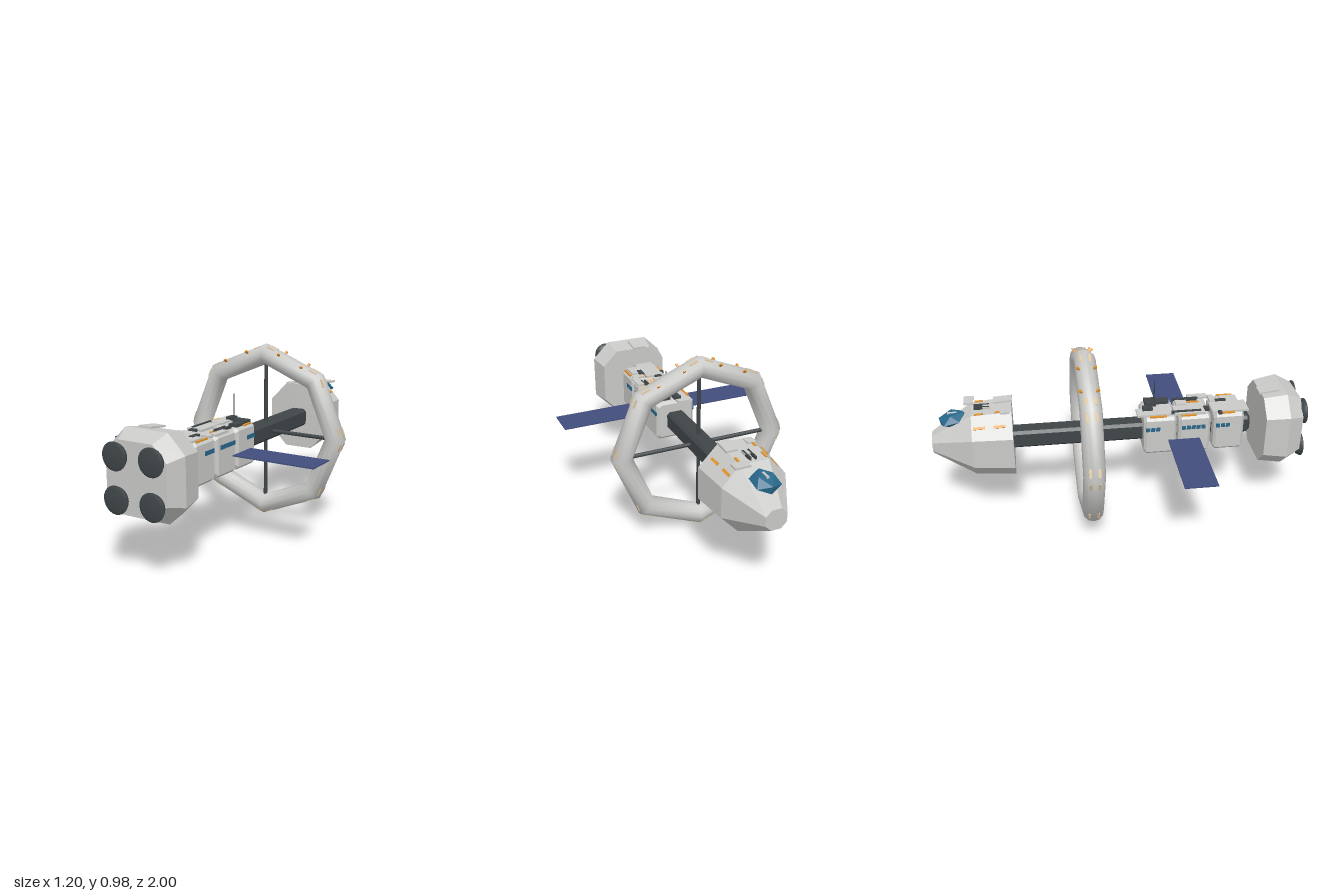
import * as THREE from 'three';

const mat = (name, color) => {
  const m = new THREE.MeshStandardMaterial({ color });
  m.name = name;
  return m;
};

// Chamfered-rectangle loft along z; sections are [z, halfX, halfY, centreY, flat ratio]
function loft(sections) {
  const rings = sections.map(([z, hx, hy, cy, k]) =>
    [[1, -k], [1, k], [k, 1], [-k, 1], [-1, k], [-1, -k], [-k, -1], [k, -1]]
      .map(([x, y]) => [x * hx, cy + y * hy, z]));
  const pos = [];
  const tri = (a, b, c) => pos.push(...a, ...b, ...c);
  for (let i = 0; i < rings.length - 1; i++) {
    for (let j = 0; j < 8; j++) {
      const n = (j + 1) % 8;
      const a = rings[i][j], b = rings[i][n], c = rings[i + 1][n], d = rings[i + 1][j];
      tri(a, b, c);
      tri(a, c, d);
    }
  }
  const first = rings[0], last = rings[rings.length - 1];
  for (let j = 1; j < 7; j++) {
    tri(first[0], first[j + 1], first[j]);
    tri(last[0], last[j], last[j + 1]);
  }
  const g = new THREE.BufferGeometry();
  g.setAttribute('position', new THREE.Float32BufferAttribute(pos, 3));
  g.computeVertexNormals();
  return g;
}

export function createModel() {
  const model = new THREE.Group();
  model.name = 'spaceStation';
  const hull = mat('hull grey', 0xc9c9c7);
  const dark = mat('dark metal', 0x3f4548);
  const blue = mat('window blue', 0x27678a);
  const navy = mat('solar navy', 0x414e7c);
  const orange = mat('marking orange', 0xe0952f);
  const warm = mat('warm window', 0xdcc49a);

  const add = (name, geo, material, x = 0, y = 0, z = 0, parent = model) => {
    const m = new THREE.Mesh(geo, material);
    m.name = name;
    m.position.set(x, y, z);
    parent.add(m);
    return m;
  };
  const box = (name, material, w, h, d, x, y, z, parent) =>
    add(name, new THREE.BoxGeometry(w, h, d), material, x, y, z, parent);
  // Box given by its x and z ranges
  const slab = (name, material, x0, x1, z0, z1, y, h) =>
    box(name, material, x1 - x0, h, z1 - z0, (x0 + x1) / 2, y, (z0 + z1) / 2);

  // Central spine
  const cy = 0.493;
  add('spine', loft([[-0.6, 0.05, 0.05, cy, 0.7], [0.7, 0.05, 0.05, cy, 0.7], [0.715, 0.04, 0.04, cy, 0.7]]), dark);

  // Habitat ring with spokes
  const ring = new THREE.Group();
  ring.name = 'habitatRing';
  ring.position.set(0, 0.4887, -0.183);
  model.add(ring);
  add('ringTube', new THREE.TorusGeometry(0.4315, 0.0572, 12, 8), hull, 0, 0, 0, ring);
  for (let i = 0; i < 2; i++) {
    const s = add('spoke', new THREE.CylinderGeometry(0.011, 0.011, 0.8, 8), dark, 0, 0, 0, ring);
    s.rotation.z = i * Math.PI / 2;
  }
  for (let i = 0; i < 8; i++) {
    const seg = new THREE.Group();
    seg.name = 'ringSegment';
    seg.rotation.z = (i + 0.5) * Math.PI / 4;
    ring.add(seg);
    for (const s of [-1, 1]) {
      box('ringWindow', warm, 0.009, 0.045, 0.06, 0.443, s * 0.14, 0, seg);
      // Orange bands on the two uppermost segments
      if (i === 1 || i === 2) {
        for (const f of [-1, 1]) {
          const band = box('ringBand', orange, 0.009, 0.013, 0.04, 0.437, s * 0.075, f * 0.036, seg);
          band.rotation.y = f * 0.75;
        }
      }
    }
  }

  // Three cargo modules with side windows
  const modules = [[0.118, 0.294, 0.18, 3], [0.305, 0.48, 0.385, 5], [0.497, 0.663, 0.54, 3]];
  const windowZ = [0.165, 0.385, 0.545];
  modules.forEach(([z0, z1, , count], i) => {
    const k = 0.86, b = 0.014;
    add('module', loft([[z0, 0.096, 0.096, 0.495, k], [z0 + b, 0.11, 0.11, 0.495, k],
      [z1 - b, 0.11, 0.11, 0.495, k], [z1, 0.096, 0.096, 0.495, k]]), hull);
    for (const s of [-1, 1]) {
      for (let j = 0; j < count; j++) {
        box('moduleWindow', blue, 0.006, 0.022, 0.021, s * 0.111, 0.54, windowZ[i] + (j - (count - 1) / 2) * 0.027);
      }
    }
  });

  // Roof plates, equipment and markings on the modules
  const plates = [
    [-0.08, -0.005, 0.085, 0.265], [-0.09, 0, 0.285, 0.45], [-0.085, 0.02, 0.49, 0.69],
    [0.075, 0.115, 0.385, 0.495], [0.015, 0.085, 0.56, 0.655], [0.01, 0.06, 0.31, 0.37], [0.03, 0.1, 0.5, 0.53],
  ];
  plates.forEach(([a, b, c, d], i) => slab('roofPlate', hull, a, b, c, d, 0.608 + (i % 2) * 0.003, 0.012));
  const gear = [
    [-0.035, 0.003, 0.12, 0.175, 0.62], [0.02, 0.095, 0.14, 0.2, 0.616], [0.045, 0.095, 0.2, 0.275, 0.612],
    [-0.075, -0.063, 0.27, 0.43, 0.615], [0.055, 0.063, 0.33, 0.43, 0.614], [0.07, 0.078, 0.3, 0.44, 0.612],
    [-0.06, -0.025, 0.45, 0.48, 0.611], [0.02, 0.045, 0.53, 0.59, 0.61], [-0.1, -0.08, 0.52, 0.54, 0.609],
  ];
  gear.forEach(([a, b, c, d, y]) => slab('roofGear', dark, a, b, c, d, y, 0.016));
  const marks = [[-0.092, 0.15, 0.24], [0.1, 0.15, 0.22], [-0.095, 0.32, 0.4], [0.045, 0.31, 0.44],
    [-0.093, 0.54, 0.61], [0.098, 0.55, 0.64], [0.02, 0.5, 0.55]];
  marks.forEach(([x, a, b]) => slab('roofMarking', orange, x - 0.006, x + 0.006, a, b, 0.607, 0.008));
  add('antenna', new THREE.CylinderGeometry(0.003, 0.003, 0.15, 6), dark, 0.025, 0.685, 0.19);

  // Solar panels
  for (const s of [-1, 1]) {
    box('solarPanel', navy, 0.445, 0.006, 0.17, s * 0.3775, 0.496, 0.325);
  }

  // Engine block with four nozzles
  add('engineBlock', loft([[0.76, 0.192, 0.196, 0.491, 0.56], [0.885, 0.214, 0.214, 0.493, 0.56],
    [0.968, 0.172, 0.176, 0.491, 0.56]]), hull);
  slab('enginePlate', hull, -0.07, 0.003, 0.745, 0.855, 0.702, 0.009).rotation.x = -0.12;
  const bell = new THREE.LatheGeometry([[0.035, -0.06], [0.045, -0.04], [0.06, -0.028], [0.069, -0.012],
    [0.069, -0.008], [0.05, -0.004], [0, 0]].map(([r, y]) => new THREE.Vector2(r, y)), 24);
  bell.rotateX(Math.PI / 2);
  for (const x of [-1, 1]) {
    for (const y of [-1, 1]) add('engineNozzle', bell, dark, x * 0.103, 0.489 + y * 0.103, 1);
  }

  // Command hull, tapering to the rear
  add('commandHull', loft([[-1, 0.055, 0.053, 0.492, 0.45], [-0.785, 0.167, 0.178, 0.498, 0.45],
    [-0.575, 0.186, 0.192, 0.498, 0.45]]), hull);
  const canopy = new THREE.IcosahedronGeometry(1, 0).toNonIndexed();
  canopy.scale(0.075, 0.04, 0.08);
  canopy.computeVertexNormals();
  add('canopy', canopy, blue, 0, 0.628, -0.885).rotation.x = -0.2;
  box('canopyFin', hull, 0.012, 0.012, 0.05, 0, 0.658, -0.885);
  slab('hullPlate', hull, 0.04, 0.12, -0.825, -0.775, 0.684, 0.01);
  slab('hullPlate', hull, 0.028, 0.088, -0.67, -0.57, 0.69, 0.012).rotation.x = -0.06;
  slab('hullPlate', hull, -0.09, -0.045, -0.635, -0.585, 0.688, 0.01);
  slab('hullGear', dark, -0.018, -0.01, -0.77, -0.69, 0.687, 0.016);
  slab('hullGear', dark, 0.01, 0.018, -0.77, -0.69, 0.687, 0.016);
  slab('hullGear', hull, -0.02, 0.02, -0.725, -0.685, 0.686, 0.014);

  // Orange dashes on the upper bevels and roof of the hull
  for (const s of [-1, 1]) {
    for (const [z, x, y] of [[-0.64, 0.131, 0.635], [-0.745, 0.124, 0.628]]) {
      const side = new THREE.Group();
      side.name = 'hullMarking';
      side.position.set(s * x, y, z);
      side.rotation.z = -s * Math.PI / 4;
      model.add(side);
      box('hullDash', orange, 0.014, 0.009, 0.06, 0, 0, 0, side).rotation.x = -0.08;
      const roof = box('roofDash', orange, 0.012, 0.008, 0.045, s * 0.07, 0.687 + (z + 0.64) * 0.067, z);
      roof.rotation.x = -0.067;
    }
  }
  return model;
}
